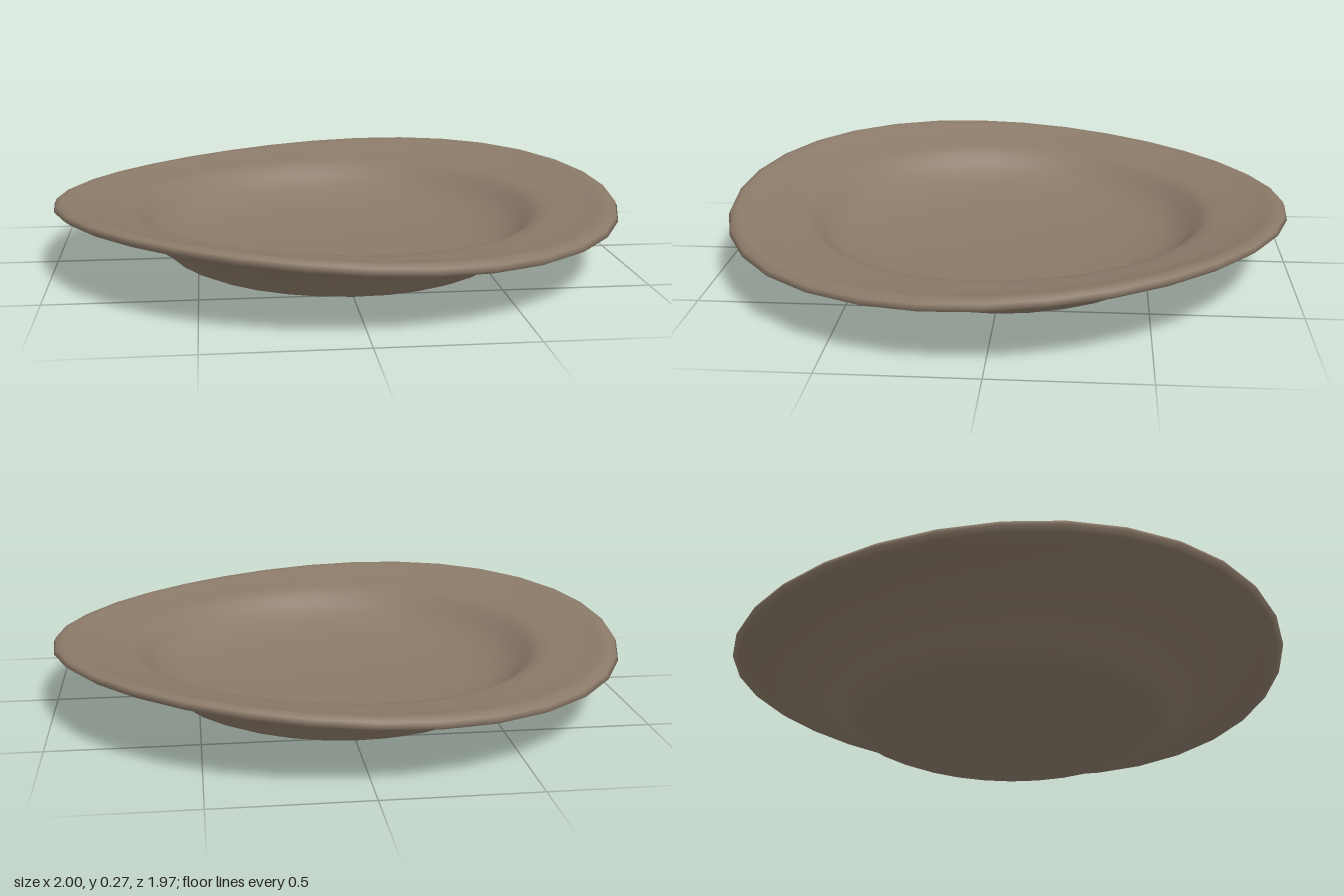
import * as THREE from 'three';
import { mergeVertices } from 'three/addons/utils/BufferGeometryUtils.js';

export function createModel() {
  const group = new THREE.Group();
  group.name = 'plate';
  const clay = new THREE.MeshStandardMaterial({ color: 0x8b7a69 });
  clay.name = 'brown clay';

  // Profile (radius, height): underside from the centre out, over the lip, back into the well
  const profile = [
    [0, 0.006], [0.3, 0.005], [0.5, 0.007], [0.55, 0.012], [0.59, 0.03],
    [0.63, 0.065], [0.69, 0.108], [0.76, 0.143], [0.84, 0.172], [0.92, 0.193],
    [0.98, 0.207], [1, 0.22], [0.992, 0.236], [0.97, 0.245], [0.94, 0.241],
    [0.9, 0.228], [0.84, 0.218], [0.77, 0.209], [0.73, 0.201], [0.7, 0.183],
    [0.67, 0.152], [0.63, 0.118], [0.57, 0.09], [0.47, 0.069], [0.3, 0.056], [0, 0.05],
  ].map(([r, y]) => new THREE.Vector2(r, y));

  let geometry = new THREE.LatheGeometry(profile, 32);
  geometry.deleteAttribute('uv');
  geometry.deleteAttribute('normal');

  // Saddle warp: the rim lifts on one diagonal and dips on the other
  const p = geometry.attributes.position;
  for (let i = 0; i < p.count; i++) {
    const x = p.getX(i), z = p.getZ(i);
    const r = Math.hypot(x, z);
    p.setY(i, p.getY(i) - 0.068 * x * z * r * r);
    p.setZ(i, z * 0.987);
  }

  // Weld the seam so the surface shades smoothly all round
  geometry = mergeVertices(geometry, 1e-4);
  geometry.computeVertexNormals();
  geometry.computeBoundingBox();
  geometry.translate(0, -geometry.boundingBox.min.y, 0);

  const dish = new THREE.Mesh(geometry, clay);
  dish.name = 'dish';
  group.add(dish);
  return group;
}
